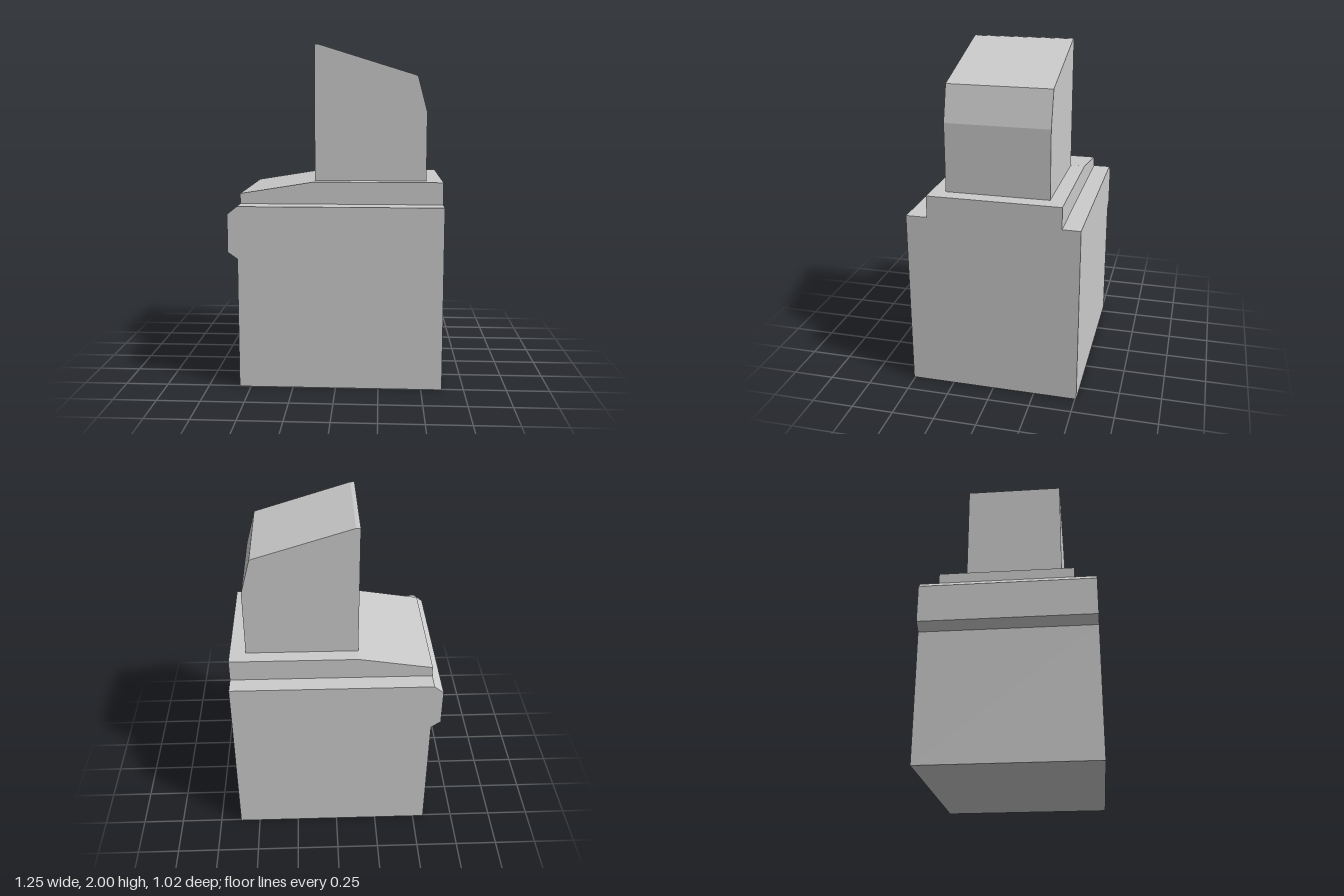
import * as THREE from 'three';

const material = new THREE.MeshStandardMaterial({ color: 0xcccccc, flatShading: true });

// Extrudes a side profile (x, y) between two depths.
function slab(name, profile, zBack, zFront) {
  const shape = new THREE.Shape(profile.map(([x, y]) => new THREE.Vector2(x, y)));
  const geometry = new THREE.ExtrudeGeometry(shape, { depth: zFront - zBack, bevelEnabled: false });
  geometry.translate(0, 0, zBack);
  const mesh = new THREE.Mesh(geometry, material);
  mesh.name = name;
  return mesh;
}

export function createModel() {
  const group = new THREE.Group();
  group.name = 'building';

  // Main block with a chamfered ledge along one side
  group.add(slab('mainBlock', [
    [-0.567, 0], [0.622, 0], [0.622, 1.075], [-0.567, 1.075],
    [-0.623, 1.03], [-0.623, 0.808], [-0.567, 0.768],
  ], -0.508, 0.508));

  // Raised roof that slopes down towards the ledge
  group.add(slab('roofStep', [
    [-0.567, 1.075], [0.622, 1.075], [0.622, 1.205], [-0.133, 1.205], [-0.567, 1.135],
  ], -0.402, 0.382));

  // Tower with a slanted top and a bevelled shoulder
  group.add(slab('tower', [
    [-0.133, 1.205], [0.527, 1.205], [0.527, 1.61], [0.471, 1.82], [-0.108, 2], [-0.133, 2],
  ], -0.315, 0.295));

  return group;
}
